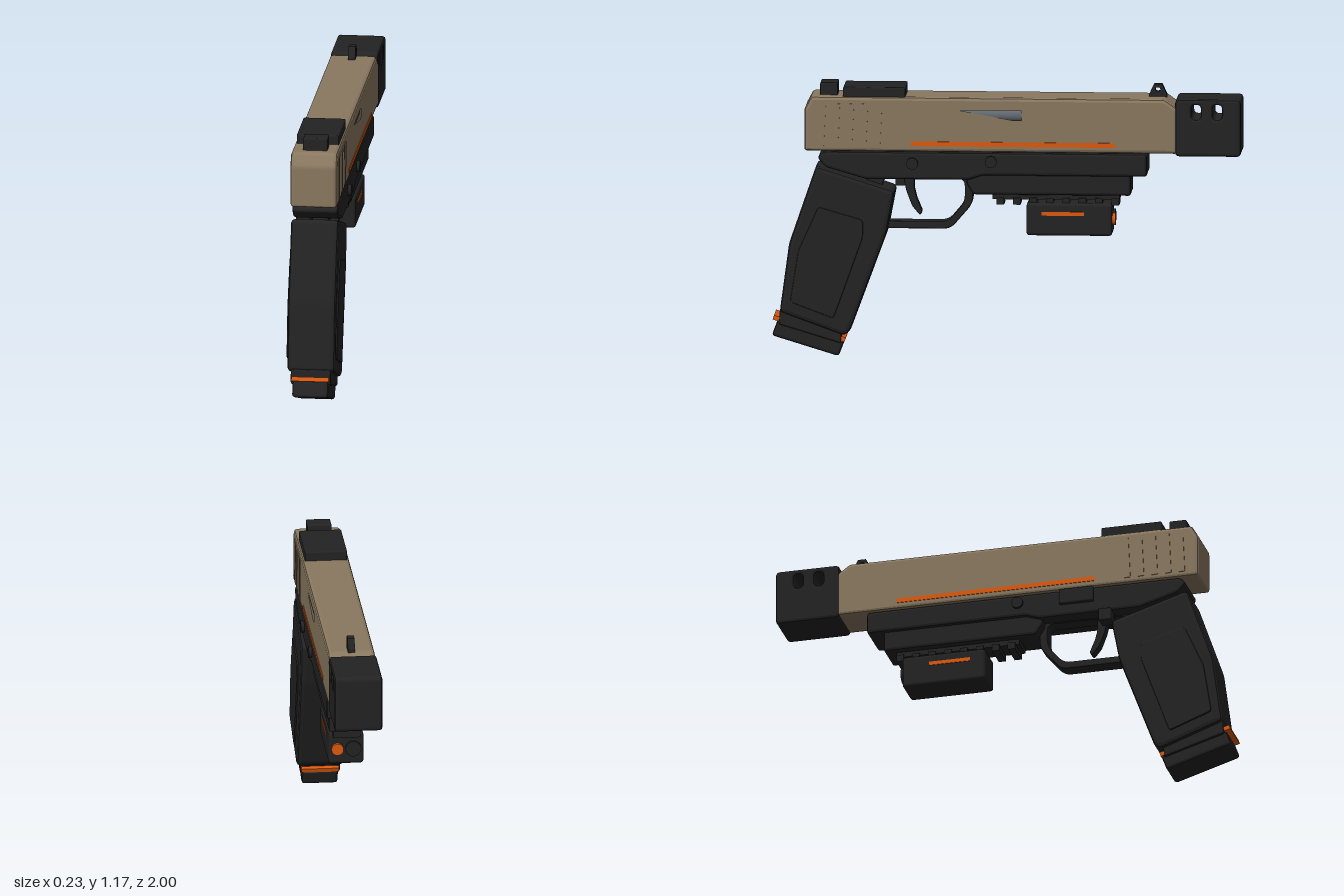
import * as THREE from 'three';
import { RoundedBoxGeometry } from 'three/addons/geometries/RoundedBoxGeometry.js';

const mat = (name, color) => {
  const m = new THREE.MeshStandardMaterial({ color });
  m.name = name;
  return m;
};

// Closed outline from [z, y] points with corners rounded by r
function outline(points, r = 0, Type = THREE.Shape) {
  const p = points.map(([z, y]) => new THREE.Vector2(-z, y));
  const s = new Type();
  p.forEach((c, i) => {
    const a = p[(i + p.length - 1) % p.length], b = p[(i + 1) % p.length];
    const toward = (q) => c.clone().add(q.clone().sub(c).setLength(Math.min(r, c.distanceTo(q) * 0.45)));
    const s0 = r ? toward(a) : c, s1 = r ? toward(b) : c;
    if (i === 0) s.moveTo(s0.x, s0.y); else s.lineTo(s0.x, s0.y);
    if (r) s.quadraticCurveTo(c.x, c.y, s1.x, s1.y);
  });
  s.closePath();
  return s;
}

const rect = (z0, z1, y0, y1) => [[z0, y0], [z1, y0], [z1, y1], [z0, y1]];

export function createModel() {
  const root = new THREE.Group();
  root.name = 'pistol';
  const black = mat('black', 0x232323);
  const tan = mat('tan', 0x8a7860);
  const orange = mat('orange', 0xdc5a10);
  const steel = mat('steel', 0x666d76);

  const add = (name, geo, material, x = 0, y = 0, z = 0) => {
    const m = new THREE.Mesh(geo, material);
    m.name = name;
    m.position.set(x, y, z);
    root.add(m);
    return m;
  };
  // Side profile extruded across x0..x1 with bevelled edges
  const slab = (name, shape, x0, x1, material, bevel = 0.01) => {
    const g = new THREE.ExtrudeGeometry(shape, {
      depth: x1 - x0 - 2 * bevel, bevelEnabled: bevel > 0, bevelSize: bevel,
      bevelThickness: bevel, bevelOffset: -bevel, bevelSegments: 2, curveSegments: 6,
    });
    g.translate(0, 0, x0 + bevel);
    g.rotateY(Math.PI / 2);
    return add(name, g, material);
  };
  const box = (name, x0, x1, y0, y1, z0, z1, material, r = 0) => {
    const d = [x1 - x0, y1 - y0, z1 - z0];
    const g = r ? new RoundedBoxGeometry(...d, 2, r) : new THREE.BoxGeometry(...d);
    return add(name, g, material, (x0 + x1) / 2, (y0 + y1) / 2, (z0 + z1) / 2);
  };
  const rod = (name, r, len, axis, x, y, z, material) => {
    const g = new THREE.CylinderGeometry(r, r, len, 20);
    if (axis === 'x') g.rotateZ(Math.PI / 2); else g.rotateX(Math.PI / 2);
    return add(name, g, material, x, y, z);
  };

  // Slide: a core plus an overlapping side layer that carries the port opening
  const slidePts = [[0.86, 0.89], [0.86, 1.07], [0.83, 1.125], [-0.675, 1.125], [-0.73, 1.085], [-0.73, 0.89]];
  slab('slideCore', outline(slidePts, 0.012), -0.1, 0.07, tan, 0.015);
  const side = outline(slidePts, 0.012);
  side.holes.push(outline(rect(-0.08, 0.21, 1.015, 1.085), 0.01, THREE.Path));
  slab('slidePortSide', side, -0.02, 0.1, tan, 0.015);
  rod('chamberBarrel', 0.037, 0.296, 'z', 0.058, 1.05, 0.065, steel);

  // Slide serrations and accent stripes on both sides
  for (const s of [-1, 1]) {
    for (let i = 0; i < 5; i++) {
      const rib = box('slideSerration', s * 0.1 - 0.004, s * 0.1 + 0.004, 0.912, 1.095, -0.013, 0.013, tan);
      rib.position.z = 0.785 - i * 0.06;
      rib.rotation.x = -0.05;
    }
    box('slideStripe', s * 0.1 - 0.003, s * 0.1 + 0.003, 0.915, 0.935, -0.465, 0.405, orange);
  }

  // Muzzle compensator with two slots through the sides
  const comp = outline(rect(-0.72, -1, 0.88, 1.125), 0.02);
  for (const z of [-0.81, -0.9]) {
    comp.holes.push(outline(rect(z - 0.02, z + 0.02, 1.04, 1.102), 0.02, THREE.Path));
  }
  slab('compensator', comp, -0.102, 0.102, black, 0.012);

  // Sights and optic plate
  const front = outline([[-0.605, 1.12], [-0.605, 1.135], [-0.625, 1.178], [-0.66, 1.178], [-0.68, 1.135], [-0.68, 1.12]]);
  front.holes.push(outline(rect(-0.632, -0.652, 1.147, 1.164), 0.008, THREE.Path));
  slab('frontSight', front, -0.015, 0.015, black, 0);
  box('rearSight', -0.052, 0.052, 1.12, 1.178, 0.72, 0.795, black, 0.006);
  box('opticPlate', -0.09, 0.09, 1.115, 1.165, 0.43, 0.695, black, 0.006);

  // Frame, dust cover and accessory rail
  slab('frame', outline([[0.78, 0.888], [0.805, 0.86], [0.77, 0.82], [0.6, 0.77], [0.16, 0.77], [0.1, 0.79],
    [-0.6, 0.79], [-0.6, 0.888]], 0.015), -0.098, 0.098, black, 0.012);
  slab('dustCover', outline([[0.17, 0.81], [0.17, 0.75], [0.14, 0.705], [-0.53, 0.705], [-0.53, 0.81]], 0.012),
    -0.082, 0.082, black, 0.012);
  box('railBar', -0.05, 0.05, 0.682, 0.715, -0.48, 0.06, black);
  for (let i = 0; i < 8; i++) {
    const z = 0.027 - i * 0.07;
    box('railTooth', -0.058, 0.058, 0.66, 0.69, z - 0.016, z + 0.016, black);
  }

  // Trigger guard and trigger
  const guard = outline([[0.56, 0.55], [0.24, 0.55], [0.145, 0.66], [0.145, 0.78], [0.6, 0.78], [0.6, 0.55]], 0.03);
  guard.holes.push(outline([[0.53, 0.582], [0.25, 0.582], [0.18, 0.665], [0.18, 0.765], [0.53, 0.765]], 0.03, THREE.Path));
  slab('triggerGuard', guard, -0.035, 0.035, black, 0.006);
  slab('trigger', outline([[0.445, 0.785], [0.43, 0.71], [0.405, 0.645], [0.372, 0.605], [0.36, 0.62],
    [0.385, 0.68], [0.395, 0.72], [0.395, 0.785]], 0.01), -0.022, 0.022, black, 0.005);

  // Grip with raised side panels
  slab('grip', outline([[0.81, 0.825], [0.475, 0.72], [0.51, 0.535], [0.665, 0.115], [0.69, 0.095], [0.965, 0.195],
    [0.925, 0.49]], 0.02), -0.102, 0.102, black, 0.018);
  slab('gripPanels', outline([[0.8, 0.65], [0.61, 0.595], [0.61, 0.52], [0.735, 0.17], [0.92, 0.24], [0.885, 0.46]], 0.015),
    -0.109, 0.109, black, 0.005);

  // Magazine collar, accent plate and base
  slab('magazineCollar', outline([[0.965, 0.205], [0.7, 0.115], [0.705, 0.06], [0.97, 0.14]], 0.008), -0.086, 0.086, black, 0.008);
  slab('magazineAccent', outline([[0.99, 0.178], [0.684, 0.084], [0.69, 0.066], [0.996, 0.16]]), -0.08, 0.08, orange, 0);
  slab('magazineBase', outline([[0.975, 0.157], [0.69, 0.07], [0.715, 0.003], [1, 0.09]], 0.015), -0.077, 0.077, black, 0.012);

  // Weapon light with emitter, lens and side stripes
  box('lightBody', -0.075, 0.075, 0.53, 0.67, -0.45, -0.085, black, 0.014);
  rod('lightEmitter', 0.026, 0.024, 'z', 0.038, 0.6, -0.452, orange);
  rod('lightLens', 0.034, 0.02, 'z', -0.03, 0.6, -0.45, black);
  for (const s of [-1, 1]) {
    box('lightStripe', s * 0.075 - 0.003, s * 0.075 + 0.003, 0.617, 0.633, -0.33, -0.15, orange);
  }

  // Frame pins and left-hand controls
  rod('rearPin', 0.025, 0.05, 'x', 0.088, 0.84, 0.4, black);
  rod('frontPin', 0.025, 0.224, 'x', 0, 0.85, 0.065, black);
  box('slideLock', -0.116, -0.09, 0.82, 0.888, 0.25, 0.4, black, 0.006);
  box('magazineRelease', -0.118, -0.05, 0.72, 0.775, 0.425, 0.48, black, 0.006);

  return root;
}
